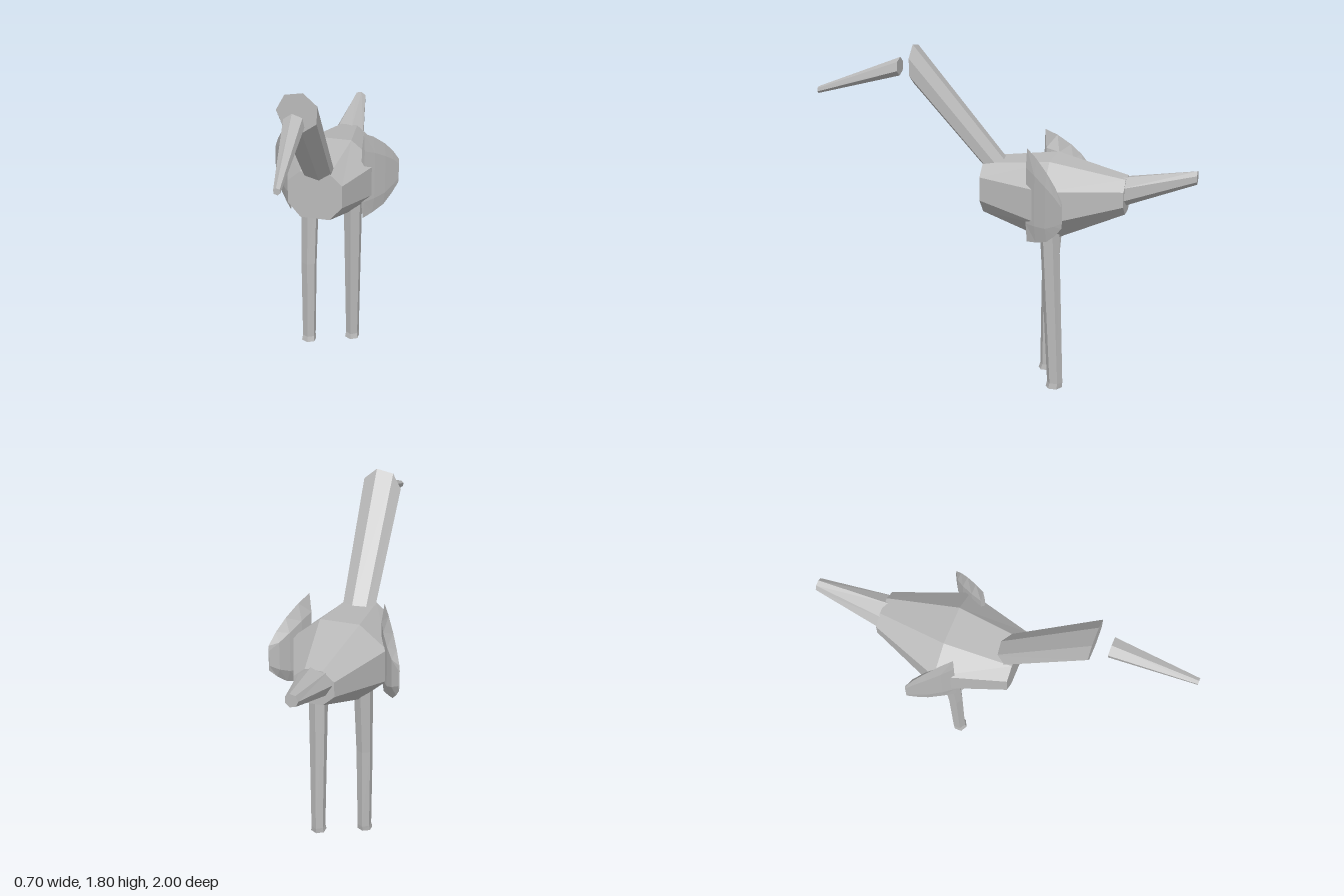
import * as THREE from 'three';

const V = (x, y, z) => new THREE.Vector3(x, y, z);

// Closed skin through rings with equal point counts, capped at both ends
function loft(rings) {
  const tris = [];
  const n = rings[0].length;
  for (let r = 0; r < rings.length - 1; r++) {
    for (let i = 0; i < n; i++) {
      const j = (i + 1) % n;
      const [a, b, c, d] = [rings[r][i], rings[r][j], rings[r + 1][j], rings[r + 1][i]];
      tris.push([a, b, c], [a, c, d]);
    }
  }
  const first = rings[0], last = rings[rings.length - 1];
  for (let i = 1; i < n - 1; i++) {
    tris.push([first[0], first[i + 1], first[i]], [last[0], last[i], last[i + 1]]);
  }
  // Turn the faces outward whichever way the rings were listed
  let volume = 0;
  for (const [a, b, c] of tris) volume += a.dot(b.clone().cross(c));
  if (volume < 0) tris.forEach(t => t.reverse());
  const geometry = new THREE.BufferGeometry().setFromPoints(tris.flat());
  geometry.computeVertexNormals();
  return geometry;
}

// Upright polygon ring (facing z)
function ringZ(x, y, z, rx, ry, sides, startDeg) {
  return Array.from({ length: sides }, (_, i) => {
    const a = THREE.MathUtils.degToRad(startDeg) + (i / sides) * Math.PI * 2;
    return V(x + Math.cos(a) * rx, y + Math.sin(a) * ry, z);
  });
}

// Level polygon ring (facing y)
function ringY(x, y, z, rx, rz, sides) {
  return Array.from({ length: sides }, (_, i) => {
    const a = ((i + 0.5) / sides) * Math.PI * 2;
    return V(x + Math.cos(a) * rx, y, z + Math.sin(a) * rz);
  });
}

export function createModel() {
  const model = new THREE.Group();
  model.name = 'wadingBird';
  const grey = new THREE.MeshStandardMaterial({ color: 0xbababa, flatShading: true });
  grey.name = 'plain grey';

  const add = (name, rings) => {
    const mesh = new THREE.Mesh(loft(rings), grey);
    mesh.name = name;
    model.add(mesh);
    return mesh;
  };

  // Body: eight-sided sections [z, half width, corner x, top, upper side, lower side, bottom]
  const sections = [
    [0.10, 0.145, 0.078, 1.205, 1.145, 1.02, 0.942],
    [-0.26, 0.25, 0.105, 1.243, 1.125, 0.95, 0.82],
    [-0.645, 0.105, 0.045, 1.16, 1.11, 1.03, 0.975],
  ];
  add('body', sections.map(([z, w, c, top, up, low, bottom]) => [
    V(c, top, z), V(-c, top, z), V(-w, up, z), V(-w, low, z),
    V(-c, bottom, z), V(c, bottom, z), V(w, low, z), V(w, up, z),
  ]));

  // Neck, with a straight upright cut at the head end
  add('neck', [
    ringZ(0.0, 1.11, -0.02, 0.086, 0.083, 7, 75),
    ringZ(0.018, 1.697, 0.48, 0.106, 0.106, 7, 75),
  ]);

  // Beak, floating just ahead of the neck
  add('beak', [
    ringZ(0.023, 1.677, 0.56, 0.055, 0.048, 6, 100),
    ringZ(0.068, 1.537, 1.0, 0.018, 0.018, 6, 100),
  ]);

  // Tail
  add('tail', [
    ringZ(0.0, 1.08, -0.6, 0.1, 0.082, 7, 77),
    ringZ(-0.022, 1.18, -1.0, 0.034, 0.036, 7, 77),
  ]);

  // Legs: sections [x, y, z, x radius, z radius]
  const legs = {
    leftLeg: [
      [0.116, 0.92, -0.265, 0.048, 0.052],
      [0.114, 0.03, -0.303, 0.034, 0.042],
      [0.114, 0, -0.298, 0.038, 0.044],
    ],
    rightLeg: [
      [-0.118, 0.92, -0.24, 0.046, 0.05],
      [-0.118, 0.5, -0.214, 0.04, 0.042],
      [-0.116, 0.03, -0.207, 0.034, 0.038],
      [-0.116, 0, -0.2, 0.038, 0.04],
    ],
  };
  for (const [name, rows] of Object.entries(legs)) {
    add(name, rows.map(([x, y, z, rx, rz]) => ringY(x, y, z, rx * 1.1, rz, 6)));
  }

  // Wings: thin plates swept outward and back [x, z, top, bottom, outer, inner thickness]
  const columns = [
    [0.195, -0.165, 1.333, 0.837, 0.008, 0.015],
    [0.235, -0.222, 1.295, 0.85, 0.012, 0.028],
    [0.28, -0.287, 1.235, 0.873, 0.01, 0.032],
    [0.314, -0.338, 1.175, 0.92, 0.006, 0.026],
    [0.341, -0.378, 1.11, 0.97, 0.002, 0.004],
  ];
  for (const side of [1, -1]) {
    const wing = add(side > 0 ? 'leftWing' : 'rightWing', columns.map(([x, z, top, bottom, out, inn]) => {
      const h = (top - bottom) * 0.2;
      const p = (y, t) => V(side * (x + 0.82 * t), y, z + 0.57 * t);
      return [
        p(top, 0), p(top - h, out), p(bottom + h, out),
        p(bottom, 0), p(bottom + h, -inn), p(top - h, -inn),
      ];
    }));
    if (side < 0) wing.position.x = -0.01;
  }
  return model;
}
